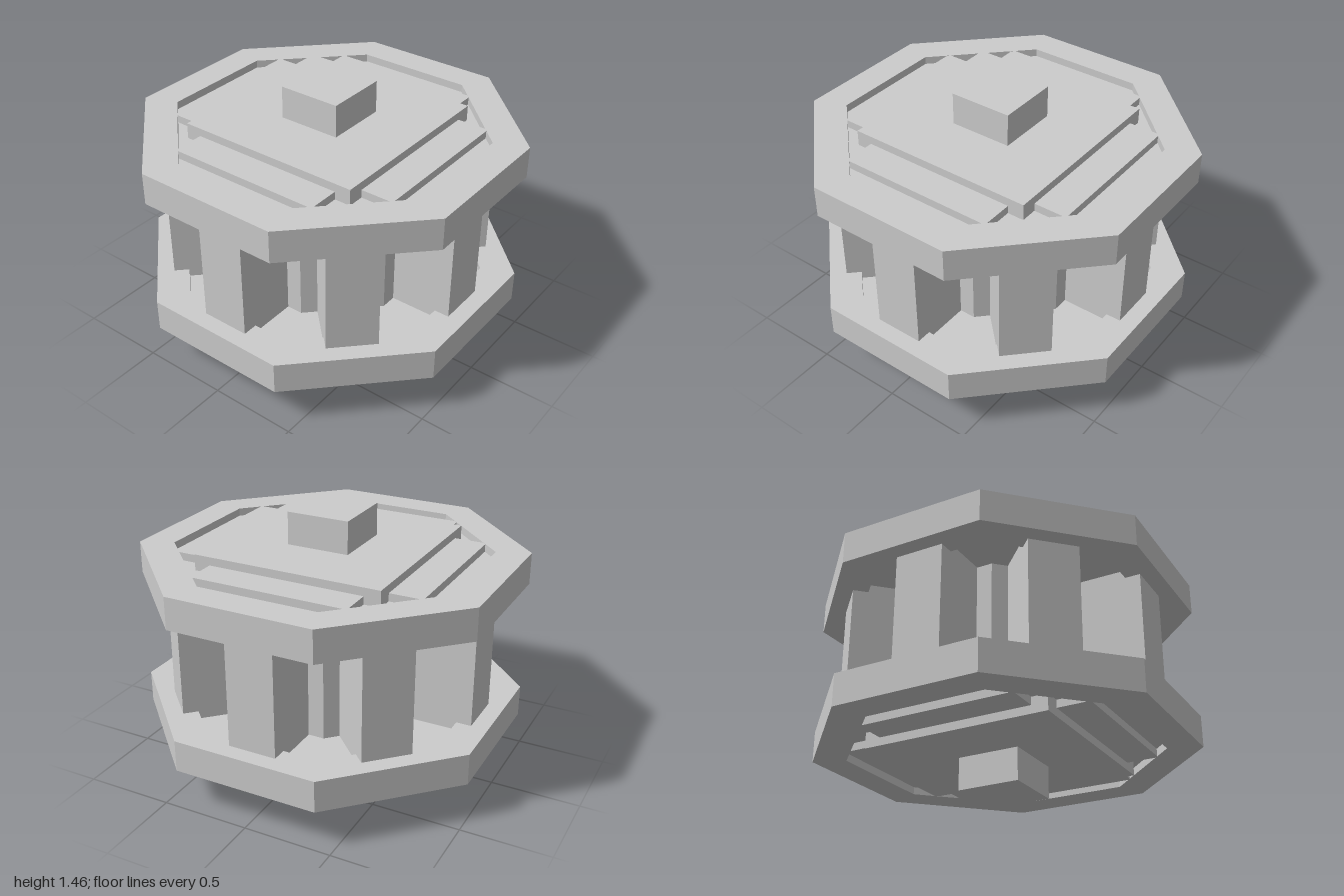
import * as THREE from 'three';

const MID = 0.73; // height of the horizontal mirror plane
const material = new THREE.MeshStandardMaterial({ color: 0xcccccc, flatShading: true });

// Corners of a flat-sided octagon with the given apothem
function octagon(apothem) {
  const r = apothem / Math.cos(Math.PI / 8);
  return Array.from({ length: 8 }, (_, i) => {
    const a = Math.PI / 8 + (i * Math.PI) / 4;
    return new THREE.Vector2(r * Math.cos(a), r * Math.sin(a));
  });
}

// Upright octagonal prism or ring between two heights
function octPrism(name, apothem, y0, y1, holeApothem) {
  const shape = new THREE.Shape(octagon(apothem));
  if (holeApothem) shape.holes.push(new THREE.Path(octagon(holeApothem)));
  const geometry = new THREE.ExtrudeGeometry(shape, { depth: y1 - y0, bevelEnabled: false });
  geometry.rotateX(-Math.PI / 2).translate(0, y0, 0);
  const mesh = new THREE.Mesh(geometry, material);
  mesh.name = name;
  return mesh;
}

// Box centred on the axis in x and z, between two heights
function box(name, w, d, y0, y1, z = 0) {
  const geometry = new THREE.BoxGeometry(w, y1 - y0, d).translate(0, (y0 + y1) / 2, z);
  const mesh = new THREE.Mesh(geometry, material);
  mesh.name = name;
  return mesh;
}

// One end: rim, recessed disc, crossed bars, square plate and axle stub.
// Heights are measured outward from the mid plane.
function endCap(name) {
  const cap = new THREE.Group();
  cap.name = name;
  cap.add(
    octPrism('rim', 1, 0.32, 0.5, 0.82),
    octPrism('recessedDisc', 0.83, 0.365, 0.455),
    box('crossBarLengthwise', 0.9, 1.455, 0.41, 0.499),
    box('crossBarSideways', 1.455, 0.9, 0.41, 0.499),
    box('squarePlate', 1.085, 1.085, 0.41, 0.545),
    box('axleStub', 0.36, 0.36, 0.5, 0.73),
  );
  cap.position.y = MID;
  return cap;
}

export function createModel() {
  const model = new THREE.Group();
  model.name = 'octagonalDrum';

  // Upper end, and the same turned over for the lower end
  const lower = endCap('lowerEnd');
  lower.rotation.x = Math.PI;
  model.add(endCap('upperEnd'), lower);

  // Central core
  model.add(octPrism('core', 0.55, MID - 0.4, MID + 0.4));

  // Eight radial columns between the rims
  for (let i = 0; i < 8; i++) {
    const column = box('column', 0.276, 0.39, MID - 0.4, MID + 0.4, 0.71);
    column.rotation.y = (i * Math.PI) / 4;
    model.add(column);
  }
  return model;
}
